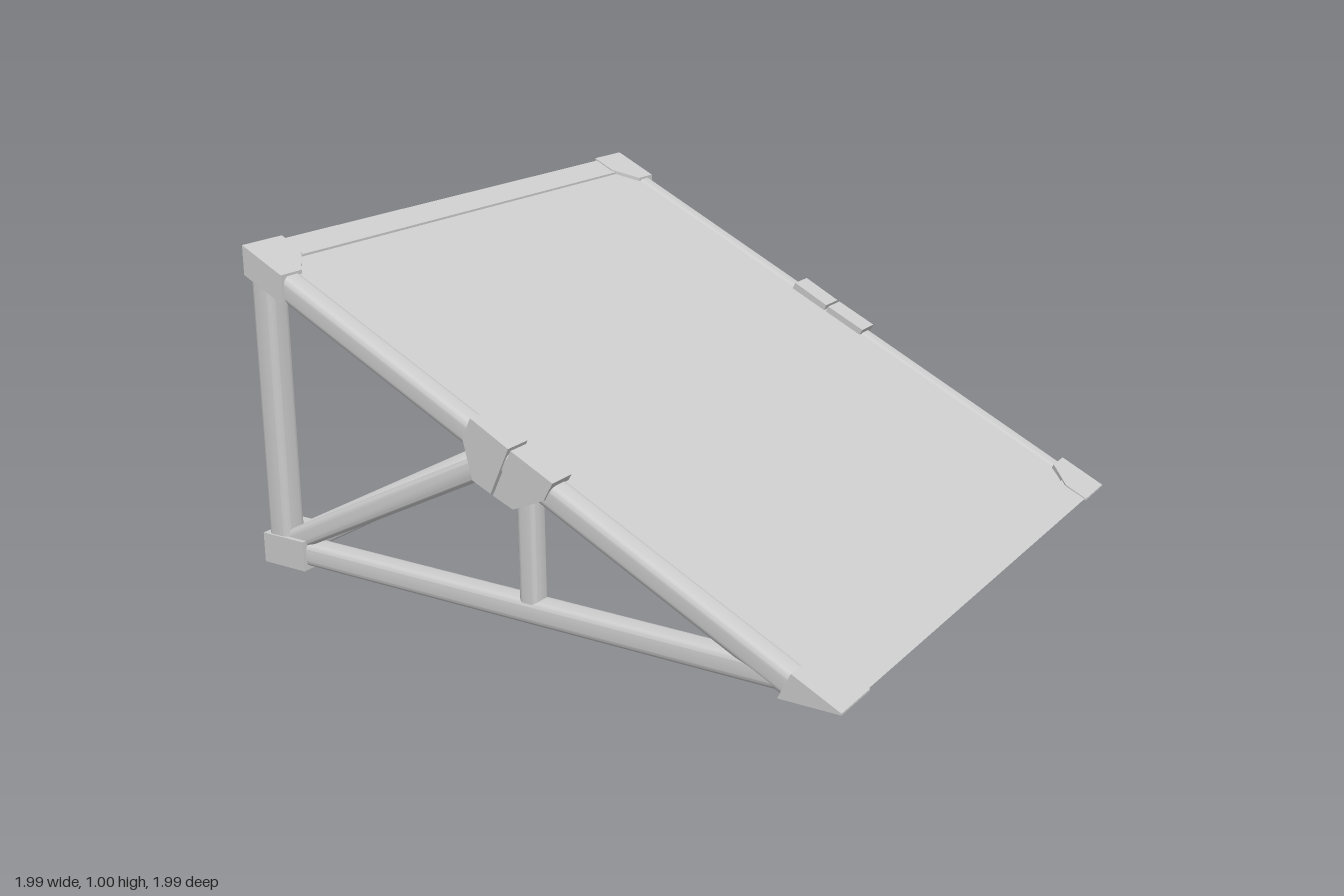
import * as THREE from 'three';
import { toCreasedNormals } from 'three/addons/utils/BufferGeometryUtils.js';

const mat = new THREE.MeshStandardMaterial({ color: 0xcccccc });
const V = (x, y, z) => new THREE.Vector3(x, y, z);
const slope = (x) => (1 - x) / 2; // height of the inclined plane
const ZC = 0.948; // centre plane of each side truss

export function createModel() {
  const root = new THREE.Group();

  const add = (name, geo, parent = root) => {
    const mesh = new THREE.Mesh(toCreasedNormals(geo, 0.6), mat);
    mesh.name = name;
    parent.add(mesh);
    return mesh;
  };
  const polygon = (pts) => new THREE.Shape(pts.map(([x, y]) => new THREE.Vector2(x, y)));
  const extrude = (shape, depth) =>
    new THREE.ExtrudeGeometry(shape, { depth, bevelEnabled: false, curveSegments: 4 });

  // Side profile (x, y) extruded from z0 to z1
  const prism = (name, pts, z0, z1, parent) =>
    add(name, extrude(polygon(pts), z1 - z0).translate(0, 0, z0), parent);

  // Rounded square beam from a to b
  const beam = (name, a, b, w, parent) => {
    const h = w / 2, r = w * 0.3, s = new THREE.Shape();
    s.moveTo(h, -h + r);
    [[h, h], [-h, h], [-h, -h], [h, -h]].forEach(([x, y], i) => {
      const start = (i * Math.PI) / 2;
      s.absarc(x - Math.sign(x) * r, y - Math.sign(y) * r, r, start, start + Math.PI / 2, false);
    });
    const dir = b.clone().sub(a), len = dir.length();
    dir.normalize();
    const side = Math.abs(dir.z) > 0.5 ? V(1, 0, 0) : V(0, 0, 1);
    const basis = new THREE.Matrix4().makeBasis(side, dir.clone().cross(side), dir);
    add(name, extrude(s, len).applyMatrix4(basis.setPosition(a)), parent);
  };

  // Chamfered L-shaped corner block in plan, its vertices placed by a rule
  const corner = (name, sx, sz, height, place, parent) => {
    const plan = [[1, 1], [0.852, 1], [0.852, 0.912], [0.925, 0.835], [1, 0.835]];
    const shape = polygon(plan.map(([x, z]) => [sx * x * 0.997, sz * z * 0.997]));
    const geo = extrude(shape, height).rotateX(Math.PI / 2).translate(0, height, 0);
    const p = geo.attributes.position;
    for (let i = 0; i < p.count; i++) {
      const [x, y] = place(p.getX(i), p.getY(i), p.getY(i) > height / 2);
      p.setXY(i, x, y);
    }
    add(name, geo, parent);
  };

  // Two side trusses
  for (const s of [1, -1]) {
    const truss = new THREE.Group();
    truss.name = s > 0 ? 'frontTruss' : 'backTruss';
    root.add(truss);
    const z = s * ZC;
    const P = (x, y) => V(x, y, z);

    beam('rearPost', P(-0.945, 0.05), P(-0.945, 0.93), 0.085, truss);
    beam('bottomRail', P(-0.93, 0.047), P(0.81, 0.047), 0.075, truss);
    beam('slopeRail', P(-0.93, slope(-0.93) - 0.051), P(0.83, slope(0.83) - 0.051), 0.078, truss);
    beam('diagonalBrace', P(-0.91, 0.075), P(-0.12, 0.47), 0.07, truss);
    beam('middlePost', P(-0.003, 0.06), P(-0.003, 0.44), 0.066, truss);

    // Hub in two halves with a narrow seam
    const z0 = s > 0 ? 0.905 : -0.995, z1 = z0 + 0.09;
    prism('hubUpperHalf', [[-0.17, 0.6], [-0.2, 0.535], [-0.17, 0.417], [-0.107, 0.389], [-0.041, 0.532]], z0, z1, truss);
    prism('hubLowerHalf', [[-0.033, 0.528], [-0.099, 0.385], [-0.03, 0.357], [0.075, 0.403], [0.107, 0.459]], z0, z1, truss);

    // Corner blocks: level, sheared along the incline, and wedge-shaped
    corner('rearBottomCorner', -1, s, 0.095, (x, y) => [x > -0.86 ? -0.835 : x, y], truss);
    corner('rearTopCorner', -1, s, 0.09, (x, y) => [x, slope(x) - 0.09 + y], truss);
    corner('frontCorner', 1, s, 0.08, (x, y, top) =>
      top ? [x, slope(x) + 0.004] : [x < 0.86 ? 0.81 : x, 0], truss);
  }

  // Cross members joining the trusses
  beam('rearBottomBeam', V(-0.945, 0.048, -0.9), V(-0.945, 0.048, 0.9), 0.08);
  prism('rearTopBeam', [[-0.99, 0.99], [-0.99, 0.912], [-0.912, 0.875], [-0.912, 0.951]], -0.86, 0.86);
  prism('frontEdgeBeam', [[0.992, 0.004], [0.9, 0.048], [0.88, 0.008], [0.89, 0.004]], -0.86, 0.86);

  // Inclined deck, set slightly below the frame
  const deck = [-0.03, -0.012];
  prism('deckPanel', [
    [-0.925, slope(-0.925) + deck[0]], [0.91, slope(0.91) + deck[0]],
    [0.91, slope(0.91) + deck[1]], [-0.925, slope(-0.925) + deck[1]],
  ], -0.925, 0.925);

  return root;
}
